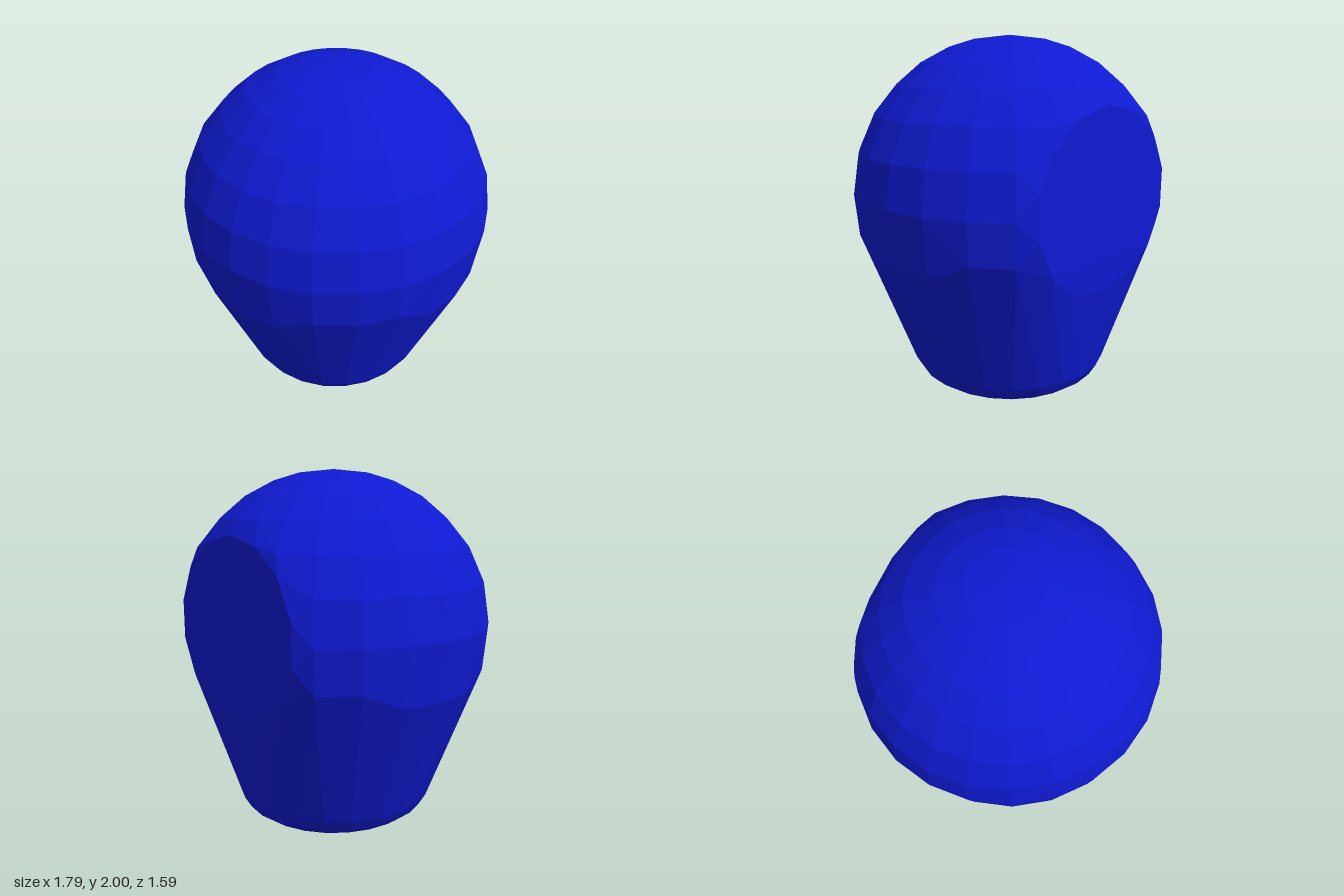
import * as THREE from 'three';
import { ConvexGeometry } from 'three/addons/geometries/ConvexGeometry.js';

const AXIS_Z = -0.1; // centre line of the body
const BACK_Z = -0.79; // plane of the flattened back
const SIDES = 24;

export function createModel() {
  const group = new THREE.Group();
  group.name = 'roundedBody';
  const points = [];

  // Ring of points around the axis; anything past the flat back is left out
  const ring = (radius, y) => {
    for (let i = 0; i < SIDES; i++) {
      const a = (i / SIDES) * Math.PI * 2;
      const z = AXIS_Z + radius * Math.cos(a);
      if (z > BACK_Z) points.push(new THREE.Vector3(radius * Math.sin(a), y, z));
    }
  };

  // Narrow base with a rounded lower edge
  [[0.41, 0], [0.47, 0.022], [0.53, 0.065], [0.57, 0.13]].forEach(([r, y]) => ring(r, y));

  // Lower edge of the dome, rising a little on the diagonals
  for (let i = 0; i < SIDES; i++) {
    const a = (i / SIDES) * Math.PI * 2;
    const diagonal = i % 6 >= 2 && i % 6 <= 4;
    const r = diagonal ? 0.872 : 0.853;
    const z = AXIS_Z + r * Math.cos(a);
    if (z > BACK_Z) points.push(new THREE.Vector3(r * Math.sin(a), diagonal ? 0.91 : 0.82, z));
  }

  // Dome
  [[0.895, 1.14], [0.86, 1.37], [0.77, 1.57], [0.64, 1.73], [0.5, 1.85], [0.34, 1.935], [0.2, 1.978]]
    .forEach(([r, y]) => ring(r, y));
  points.push(new THREE.Vector3(0, 2, AXIS_Z));

  // Outline of the flat back
  for (let i = 0; i < 14; i++) {
    const a = (i / 14) * Math.PI * 2;
    const y = 1.15 + 0.5 * Math.cos(a);
    points.push(new THREE.Vector3(0.55 * Math.sin(a), y, y < 0.8 ? -0.78 : BACK_Z));
  }

  const body = new THREE.Mesh(
    new ConvexGeometry(points),
    new THREE.MeshStandardMaterial({ color: 0x0f1ad2, flatShading: true })
  );
  body.name = 'body';
  group.add(body);
  return group;
}
